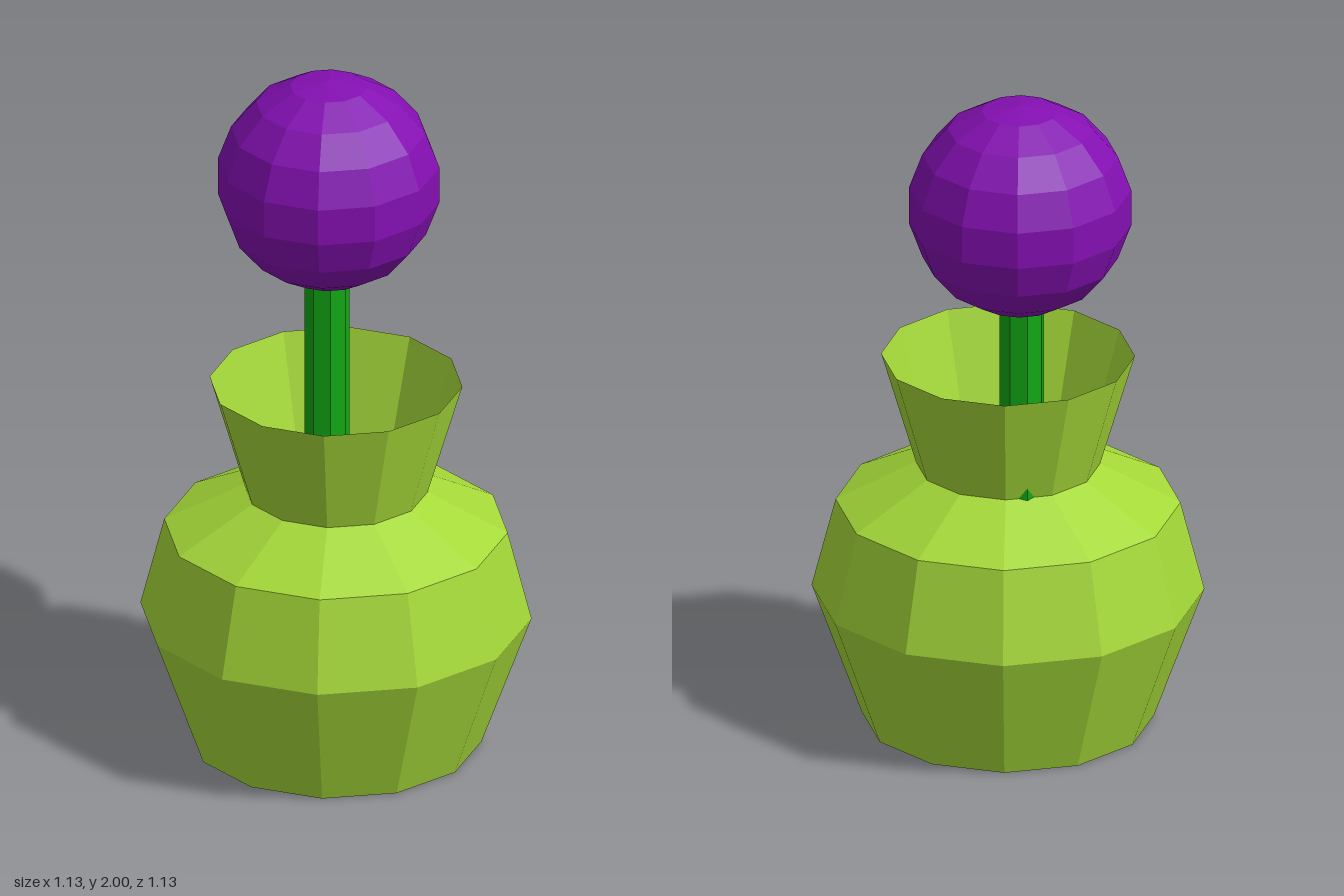
import * as THREE from 'three';

const flat = (name, color, side = THREE.FrontSide) => {
  const material = new THREE.MeshStandardMaterial({ color, flatShading: true, side });
  material.name = name;
  return material;
};

export function createModel() {
  const group = new THREE.Group();
  group.name = 'pottedFlower';

  const add = (name, geometry, material, x = 0, y = 0, z = 0) => {
    const mesh = new THREE.Mesh(geometry, material);
    mesh.name = name;
    mesh.position.set(x, y, z);
    group.add(mesh);
    return mesh;
  };

  // Thin-walled, open-topped vase with a closed base
  const profile = [[0, 0], [0.42, 0], [0.565, 0.4], [0.496, 0.67], [0.265, 0.79], [0.365, 1.13]]
    .map(([r, y]) => new THREE.Vector2(r, y));
  add('vase', new THREE.LatheGeometry(profile, 12), flat('lime green', 0xa5d939, THREE.DoubleSide));

  // Octagonal stem standing off-centre; it just grazes the narrow neck
  const stemHeight = 1.4;
  add('stem', new THREE.CylinderGeometry(0.066, 0.066, stemHeight, 8),
    flat('stem green', 0x12a814), 0.146, stemHeight / 2 + 0.01, -0.136);

  // Faceted round blossom
  const blossom = add('blossom', new THREE.SphereGeometry(0.325, 12, 9),
    flat('purple', 0x8410b2), 0.143, 1.68, -0.128);
  blossom.scale.y = 0.32 / 0.325;

  return group;
}
